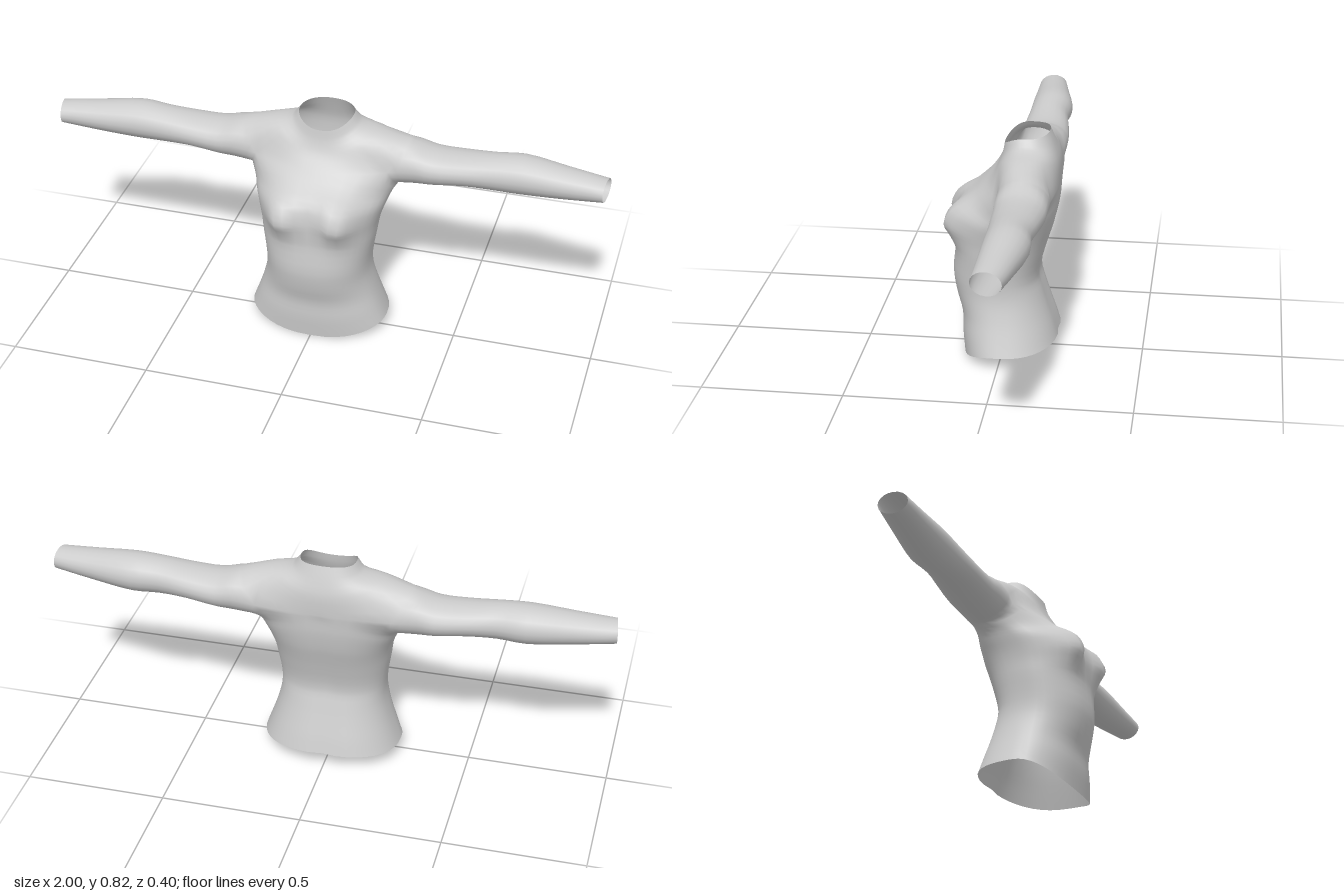
import * as THREE from 'three';
import { mergeGeometries, mergeVertices } from 'three/addons/utils/BufferGeometryUtils.js';

const N = 40;       // columns around the body
const SIDE = 5;     // columns each side of +x / -x that belong to an armhole
const V = (x, y, z) => new THREE.Vector3(x, y, z);
const pow = (v, e) => Math.sign(v) * Math.pow(Math.abs(v), e);
const bell = (dx, dy) => Math.exp(-(dx * dx + dy * dy));

// Smooth surface through closed rings of equal point count
function loft(rings, steps, flip = false) {
  const cols = rings[0].length, rows = (rings.length - 1) * steps;
  const pos = [], idx = [];
  for (let c = 0; c < cols; c++) {
    const curve = new THREE.CatmullRomCurve3(rings.map(r => r[c]));
    for (let r = 0; r <= rows; r++) pos.push(...curve.getPoint(r / rows).toArray());
  }
  const at = (c, r) => (c % cols) * (rows + 1) + r;
  for (let c = 0; c < cols; c++) for (let r = 0; r < rows; r++) {
    const a = at(c, r), b = at(c, r + 1), d = at(c + 1, r + 1), e = at(c + 1, r);
    idx.push(...(flip ? [a, d, b, a, e, d] : [a, b, d, a, d, e]));
  }
  const g = new THREE.BufferGeometry();
  g.setAttribute('position', new THREE.Float32BufferAttribute(pos, 3));
  g.setIndex(idx);
  return g;
}

// Body ring: heights at front, side and back, half width, front z, back z, centre z
function bodyRing([yF, yS, yB, w, zF, zB, zC]) {
  return Array.from({ length: N }, (_, i) => {
    const a = i / N * Math.PI * 2, s = Math.sin(a), front = s > 0;
    const x = w * pow(Math.cos(a), 0.85);
    const y = yS + ((front ? yF : yB) - yS) * s * s;
    let z = zC + (front ? zF - zC : zC - zB) * pow(s, 0.85);
    if (front) z += 0.06 * s * bell((Math.abs(x) - 0.11) / 0.055, (y - 0.51) / 0.07); // bust
    else if (y < 0.7) z += 0.008 * bell(x / 0.04, 0) * s * s;                        // spine groove
    return V(x, y, z);
  });
}

// Half of the armhole at +x: s runs from back (-1) to front (1)
function armholePoint(s, upper) {
  const out = Math.cos(s * Math.PI / 2);
  return V(0.24 + (upper ? 0.06 : 0.03) * out, 0.65 + (upper ? 0.095 : -0.07) * out,
    -0.0925 + 0.0925 * Math.sin(s * Math.PI / 2));
}

// Chest ring: follows the upper or lower edge of both armholes
function chestRing(upper) {
  return Array.from({ length: N }, (_, i) => {
    const k = i > N * 3 / 4 ? i - N : i;               // -N/4 .. 3N/4
    if (Math.abs(k) <= SIDE) return armholePoint(k / SIDE, upper);
    if (Math.abs(k - N / 2) <= SIDE) {
      const p = armholePoint((N / 2 - k) / SIDE, upper);
      return V(-p.x, p.y, p.z);
    }
    const t = Math.cos(i / N * Math.PI * 2) / Math.SQRT1_2, bulge = 1 - t * t;
    return i < N / 2 ? V(0.24 * t, 0.65, 0.065 * bulge) : V(0.24 * t, 0.65, -0.185 - 0.012 * bulge);
  });
}

// Sleeve ring: x, top, bottom, front z, back z
function sleeveRing([x, top, bottom, zF, zB]) {
  const yC = (top + bottom) / 2, zC = (zF + zB) / 2;
  return Array.from({ length: SIDE * 4 }, (_, j) => {
    const a = (j / SIDE - 1) * Math.PI / 2;
    const z = zC + (zF - zB) / 2 * Math.sin(a);
    const slant = x === 1 ? 0.015 * (z - zB) / (zF - zB) : 0; // slanted cuff
    return V(x - slant, yC + (top - bottom) / 2 * Math.cos(a), z);
  });
}

export function createModel() {
  const group = new THREE.Group();
  group.name = 'longSleevedTop';

  // Torso from hem to chest
  const torso = [
    [0.00, 0.05, 0.065, 0.25, 0.14, -0.20, 0],
    [0.08, 0.11, 0.12, 0.228, 0.148, -0.184, 0],
    [0.15, 0.17, 0.18, 0.208, 0.15, -0.164, 0],
    [0.22, 0.24, 0.24, 0.191, 0.17, -0.145, 0],
    [0.30, 0.30, 0.30, 0.19, 0.183, -0.13, 0],
    [0.40, 0.39, 0.40, 0.203, 0.174, -0.152, 0],
    [0.45, 0.44, 0.45, 0.21, 0.174, -0.167, -0.01],
    [0.50, 0.48, 0.50, 0.22, 0.172, -0.182, -0.02],
    [0.56, 0.52, 0.57, 0.235, 0.158, -0.195, -0.04],
    [0.61, 0.555, 0.62, 0.25, 0.105, -0.198, -0.06],
  ].map(bodyRing);
  torso.push(chestRing(false));

  // Yoke from chest over the shoulders to the open neckline
  const yoke = [chestRing(true), ...[
    [0.695, 0.77, 0.72, 0.20, 0.027, -0.195, -0.085],
    [0.74, 0.787, 0.775, 0.125, 0.008, -0.178, -0.085],
    [0.78, 0.818, 0.825, 0.098, 0.0, -0.158, -0.08],
  ].map(bodyRing)];

  // Sleeve from armhole to cuff
  const armhole = [];
  for (let k = -SIDE; k <= SIDE; k++) armhole.push(armholePoint(k / SIDE, true));
  for (let k = SIDE - 1; k > -SIDE; k--) armhole.push(armholePoint(k / SIDE, false));
  const sleeve = [armhole, ...[
    [0.33, 0.734, 0.585, -0.003, -0.187],
    [0.39, 0.718, 0.589, -0.005, -0.185],
    [0.50, 0.72, 0.602, -0.01, -0.175],
    [0.60, 0.73, 0.602, -0.015, -0.163],
    [0.70, 0.737, 0.60, -0.015, -0.17],
    [0.85, 0.722, 0.612, -0.015, -0.145],
    [1.00, 0.708, 0.628, -0.015, -0.118],
  ].map(sleeveRing)];
  const mirrored = sleeve.map(r => r.map(p => V(-p.x, p.y, p.z)));

  // Weld the pieces so the shading runs smoothly across the seams
  const cloth = mergeVertices(mergeGeometries([
    loft(torso, 3), loft(yoke, 3), loft(sleeve, 3, true), loft(mirrored, 3),
  ]), 1e-4);
  cloth.computeVertexNormals();

  const shirt = new THREE.Mesh(cloth, new THREE.MeshStandardMaterial({ color: 0xcccccc, side: THREE.DoubleSide }));
  shirt.name = 'shirt';
  group.add(shirt);
  return group;
}
